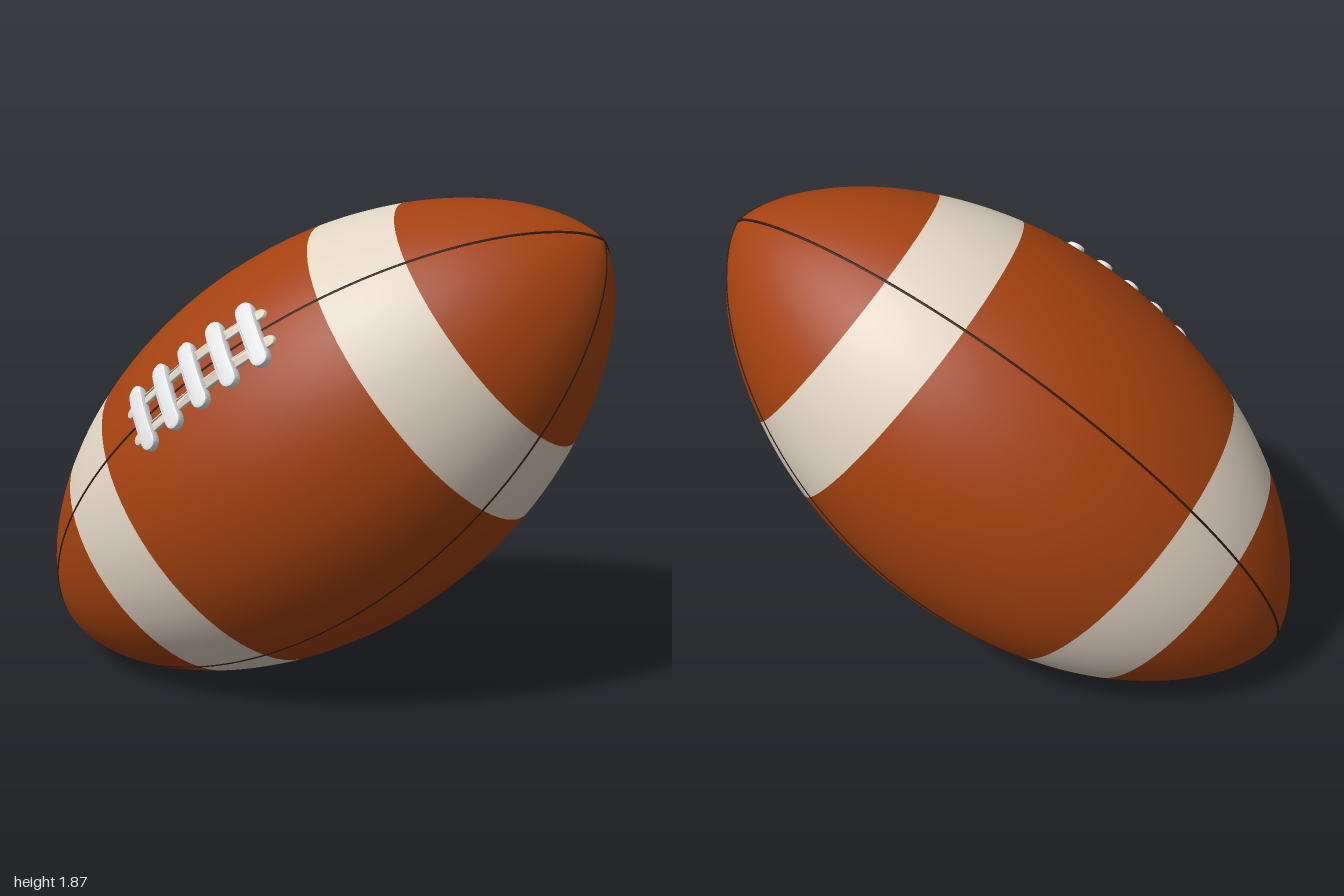
import * as THREE from 'three';
import { toCreasedNormals } from 'three/addons/utils/BufferGeometryUtils.js';

const HALF = 1.3;      // centre to tip
const RADIUS = 0.717;  // at the waist
const BAND = [0.505, 0.8];

const radiusAt = (t) => RADIUS * Math.pow(Math.max(0, 1 - (t / HALF) ** 2), 0.65);

// Slice of the ball between two stations on its long axis (local y)
function slice(from, to, steps) {
  const a = Math.asin(from / HALF), b = Math.asin(to / HALF);
  const profile = [];
  for (let i = 0; i <= steps; i++) {
    const t = HALF * Math.sin(a + (b - a) * i / steps);
    profile.push(new THREE.Vector2(radiusAt(t), t));
  }
  return new THREE.LatheGeometry(profile, 64);
}

// Flat strip with round ends, wrapped onto the front of the ball
function lace(x, y, length, width, height, across) {
  const r = width / 2, straight = length / 2 - r, outline = [];
  for (const side of [1, -1]) {
    for (let i = 0; i < 8; i++) {
      outline.push(new THREE.Vector2(side * (-straight + 2 * straight * i / 8), -side * r));
    }
    for (let i = 0; i < 6; i++) {
      const a = -Math.PI / 2 + Math.PI * i / 6;
      outline.push(new THREE.Vector2(side * (straight + r * Math.cos(a)), side * r * Math.sin(a)));
    }
  }
  const bevel = 0.008;
  const geo = new THREE.ExtrudeGeometry(new THREE.Shape(outline), {
    depth: height + 0.01 - bevel, steps: 1,
    bevelThickness: bevel, bevelSize: bevel, bevelOffset: -bevel, bevelSegments: 2,
  });
  geo.translate(0, 0, -0.01);
  if (!across) geo.rotateZ(Math.PI / 2);
  geo.translate(x, y, 0);
  const p = geo.attributes.position;
  for (let i = 0; i < p.count; i++) {
    const t = p.getY(i), a = p.getX(i) / RADIUS, d = radiusAt(t) + p.getZ(i);
    p.setXYZ(i, d * Math.sin(a), t, d * Math.cos(a));
  }
  return toCreasedNormals(geo, 0.6);
}

export function createModel() {
  const material = (name, color) => {
    const m = new THREE.MeshStandardMaterial({ color });
    m.name = name;
    return m;
  };
  const leather = material('brown leather', 0xa3410f);
  const cream = material('cream paint', 0xe0d4c2);
  const white = material('white lace', 0xe4e5e7);
  const dark = material('dark seam', 0x32180a);

  const ball = new THREE.Group();
  ball.name = 'ball';
  const add = (name, geo, mat) => {
    const mesh = new THREE.Mesh(geo, mat);
    mesh.name = name;
    ball.add(mesh);
  };

  // Leather body and painted bands
  const [inner, outer] = BAND;
  add('middlePanel', slice(-inner, inner, 24), leather);
  add('upperBand', slice(inner, outer, 12), cream);
  add('lowerBand', slice(-outer, -inner, 12), cream);
  add('upperTip', slice(outer, HALF, 24), leather);
  add('lowerTip', slice(-HALF, -outer, 24), leather);

  // Four seams running from tip to tip
  for (let k = 0; k < 4; k++) {
    const points = [];
    for (let i = 0; i <= 40; i++) {
      const t = HALF * Math.sin(Math.PI * (i / 40 - 0.5));
      const r = Math.max(0, radiusAt(t) - 0.003);
      points.push(new THREE.Vector3(r * Math.sin(k * Math.PI / 2), t, r * Math.cos(k * Math.PI / 2)));
    }
    add('seam', new THREE.TubeGeometry(new THREE.CatmullRomCurve3(points), 96, 0.006, 6), dark);
  }

  // Two long laces under five cross laces
  for (const side of [-1, 1]) {
    add('longLace', lace(side * 0.062, 0, 0.66, 0.045, 0.014, false), cream);
  }
  for (let i = -2; i <= 2; i++) {
    add('crossLace', lace(0, i * 0.13, 0.28, 0.066, 0.03, true), white);
  }

  // Tilt: long axis up and to the left, laces to the front
  const axis = new THREE.Vector3(0.703, 0.619, -0.354).normalize();
  const front = new THREE.Vector3(0, 0.497, 0.868);
  front.addScaledVector(axis, -front.dot(axis)).normalize();
  const sideways = new THREE.Vector3().crossVectors(axis, front);
  ball.quaternion.setFromRotationMatrix(new THREE.Matrix4().makeBasis(sideways, axis, front));
  ball.position.y = 0.934;

  const model = new THREE.Group();
  model.name = 'lacedBall';
  model.add(ball);
  return model;
}
